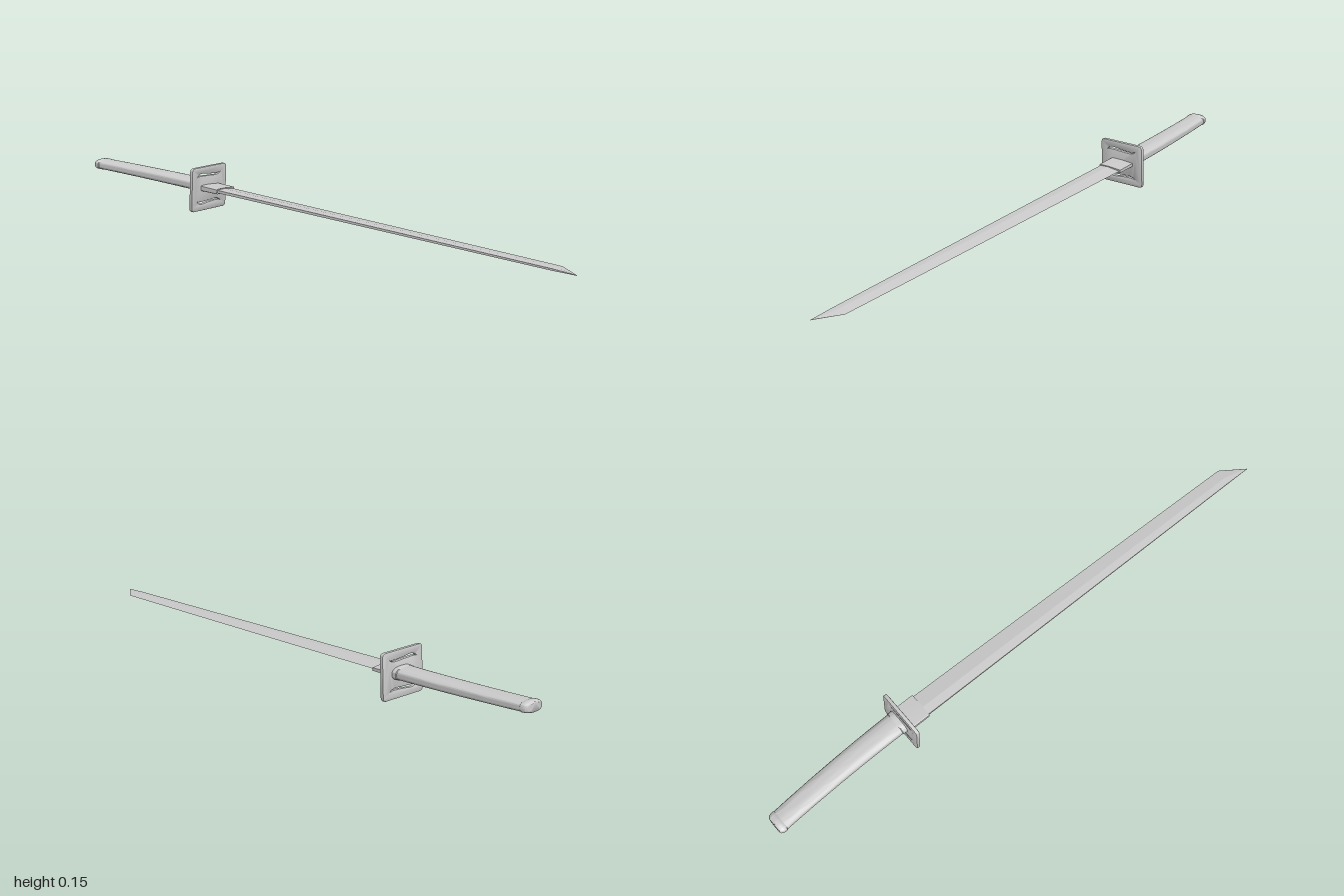
import * as THREE from 'three';
import { toCreasedNormals } from 'three/addons/utils/BufferGeometryUtils.js';

const lerp = THREE.MathUtils.lerp;
const material = new THREE.MeshStandardMaterial({ color: 0xcccccc });

// Skin a list of rings (running towards +x, each ordered y+ to z+), closing both ends.
function loft(name, rings, crease) {
  const n = rings[0].length, pos = [], index = [];
  rings.forEach((ring) => ring.forEach((p) => pos.push(...p)));
  for (let i = 0; i < rings.length - 1; i++) {
    for (let j = 0; j < n; j++) {
      const k = (j + 1) % n, a = i * n, b = a + n;
      index.push(a + j, a + k, b + k, a + j, b + k, b + j);
    }
  }
  const last = (rings.length - 1) * n;
  for (let j = 1; j < n - 1; j++) {
    index.push(0, j + 1, j, last, last + j, last + j + 1);
  }
  const geo = new THREE.BufferGeometry();
  geo.setAttribute('position', new THREE.Float32BufferAttribute(pos, 3));
  geo.setIndex(index);
  const mesh = new THREE.Mesh(toCreasedNormals(geo, crease), material);
  mesh.name = name;
  return mesh;
}

// Rounded-rectangle-like oval across the grip
function oval(x, halfY, halfZ, centreZ) {
  const ring = [];
  for (let j = 0; j < 32; j++) {
    const a = (j / 32) * Math.PI * 2, c = Math.cos(a), s = Math.sin(a);
    ring.push([
      x,
      halfY * Math.sign(c) * Math.abs(c) ** 0.8,
      centreZ + halfZ * Math.sign(s) * Math.abs(s) ** 0.8,
    ]);
  }
  return ring;
}

// Centre line of the curved grip, x measured from the guard
const gripCentre = (x) => -0.005 + 0.021 * (x / 0.518) ** 2;
function gripRing(x, scale = 1) {
  const t = -x / 0.518;
  return oval(x, lerp(0.0205, 0.0175, t) * scale, lerp(0.04, 0.0355, t) * scale, gripCentre(x));
}

function makeGrip() {
  const rings = [];
  for (let i = 0; i <= 14; i++) rings.push(gripRing(lerp(-0.5, 0, i / 14)));
  return loft('grip', rings, 0.6);
}

function makePommel() {
  const rings = [[-0.518, 0.72], [-0.516, 0.88], [-0.511, 0.99], [-0.504, 1.05], [-0.494, 1.06], [-0.492, 1.0]];
  return loft('pommel', rings.map(([x, s]) => gripRing(x, s)), 0.7);
}

function makeGripCollar() {
  return loft('gripCollar', [gripRing(-0.024, 1.0), gripRing(-0.022, 1.06), gripRing(0, 1.06)], 0.6);
}

// Blade: flat spine at +z, ridge line, sharp edge at -z
function makeBlade() {
  const ring = (x, edge, spine, thick) => {
    const ridge = lerp(edge, spine, 0.62);
    return [
      [x, thick, ridge], [x, thick * 0.75, spine],
      [x, -thick * 0.75, spine], [x, -thick, ridge], [x, 0, edge],
    ];
  };
  const rings = [];
  for (let i = 0; i <= 12; i++) {
    const t = i / 12;
    rings.push(ring(1.4 * t, lerp(-0.043, -0.015, t) - 0.004 * t * (1 - t), lerp(0.037, 0.042, t), lerp(0.0065, 0.004, t)));
  }
  rings.push(ring(1.482, 0.0415, 0.043, 0.0008));
  return loft('blade', rings, 0.15);
}

// Wedge-shaped sleeve around the root of the blade
function makeBladeCollar() {
  const ring = (x, s) => [
    [x, 0.0095 * s, 0], [x, 0.0095 * s, 0.039], [x, 0.0075 * s, 0.042],
    [x, -0.0075 * s, 0.042], [x, -0.0095 * s, 0.039], [x, -0.0095 * s, 0],
    [x, -0.0055 * s, -0.046], [x, 0.0055 * s, -0.046],
  ];
  return loft('bladeCollar', [ring(0, 1), ring(0.08, 0.92)], 0.3);
}

// Square guard with rounded corners and two wavy slots
function makeGuard() {
  const w = 0.082, h = 0.0735, r = 0.011;
  const shape = new THREE.Shape();
  shape.moveTo(-w + r, -h);
  shape.lineTo(w - r, -h);
  shape.quadraticCurveTo(w, -h, w, -h + r);
  shape.lineTo(w, h - r);
  shape.quadraticCurveTo(w, h, w - r, h);
  shape.lineTo(-w + r, h);
  shape.quadraticCurveTo(-w, h, -w, h - r);
  shape.lineTo(-w, -h + r);
  shape.quadraticCurveTo(-w, -h, -w + r, -h);

  const vec = ([x, y]) => new THREE.Vector2(x, y);
  const upper = [[-0.066, 0.038], [-0.054, 0.051], [-0.035, 0.056], [0, 0.052], [0.035, 0.05], [0.052, 0.052], [0.066, 0.059]];
  const lower = [[0.066, 0.059], [0.053, 0.045], [0.035, 0.0395], [0, 0.041], [-0.035, 0.0425], [-0.052, 0.042], [-0.066, 0.038]];
  for (const side of [1, -1]) {
    const flip = (list) => list.map(([x, y]) => vec([x, y * side]));
    const slot = new THREE.Path();
    slot.moveTo(upper[0][0], upper[0][1] * side);
    slot.splineThru(flip(upper.slice(1)));
    slot.splineThru(flip(lower.slice(1)));
    shape.holes.push(slot);
  }
  const geo = new THREE.ExtrudeGeometry(shape, {
    depth: 0.007, bevelThickness: 0.003, bevelSize: 0.003, bevelSegments: 2, curveSegments: 8,
  });
  geo.translate(0, 0, -0.0035);
  geo.rotateY(Math.PI / 2);
  const mesh = new THREE.Mesh(toCreasedNormals(geo, 0.6), material);
  mesh.name = 'guard';
  return mesh;
}

export function createModel() {
  const model = new THREE.Group();
  model.name = 'sword';

  // The whole sword leans, resting on its tip and guard
  const tilted = new THREE.Group();
  tilted.name = 'tiltedSword';
  tilted.position.set(-0.482, 0.0768, 0);
  tilted.rotation.z = -0.0506;
  model.add(tilted);

  const shaft = new THREE.Group();
  shaft.name = 'gripAndBlade';
  shaft.position.y = 0.0035;
  shaft.add(makeGrip(), makePommel(), makeGripCollar(), makeBladeCollar(), makeBlade());

  tilted.add(makeGuard(), shaft);
  return model;
}
